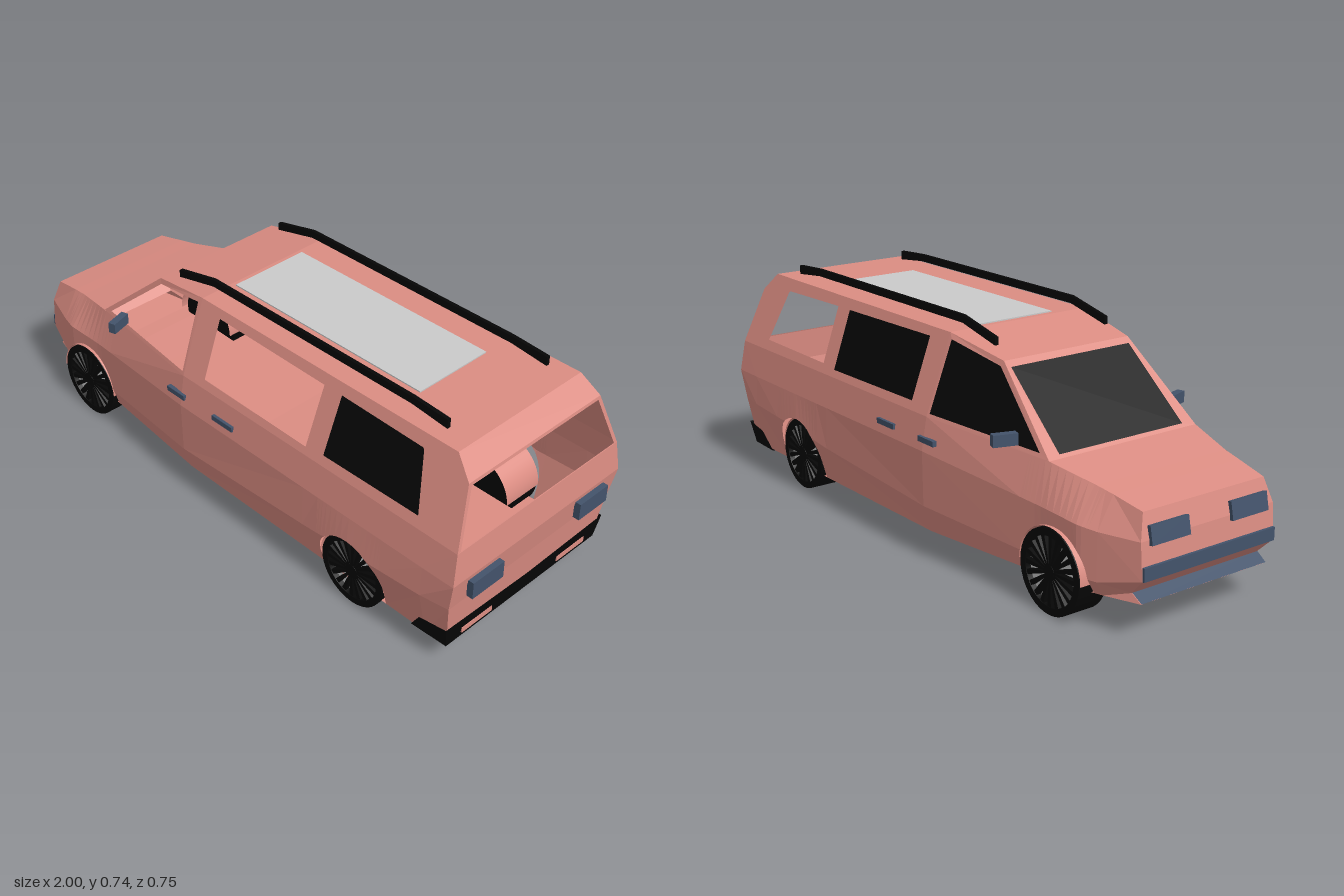
import * as THREE from 'three';

const mat = (name, color, side = THREE.FrontSide) => {
  const m = new THREE.MeshStandardMaterial({ color, side });
  m.name = name;
  return m;
};

// Half cross-sections along the car: sill, lower crease, upper crease, belt line
const KEYS = [
  [[-0.945, 0.13, 0.24], [-0.994, 0.18, 0.25], [-0.985, 0.29, 0.25], [-0.965, 0.365, 0.228]],
  [[-0.86, 0.1, 0.268], [-0.86, 0.145, 0.292], [-0.86, 0.29, 0.292], [-0.86, 0.385, 0.238]],
  [[-0.8, 0.1, 0.285], [-0.8, 0.145, 0.31], [-0.8, 0.295, 0.31], [-0.8, 0.395, 0.245]],
  [[-0.64, 0.093, 0.298], [-0.64, 0.148, 0.315], [-0.64, 0.305, 0.317], [-0.64, 0.425, 0.28]],
  [[-0.15, 0.076, 0.335], [-0.15, 0.165, 0.365], [-0.15, 0.34, 0.368], [-0.15, 0.445, 0.35]],
  [[0.4, 0.076, 0.337], [0.4, 0.2, 0.37], [0.4, 0.34, 0.368], [0.4, 0.445, 0.35]],
  [[0.59, 0.076, 0.337], [0.59, 0.225, 0.378], [0.59, 0.34, 0.368], [0.59, 0.445, 0.35]],
  [[0.87, 0.076, 0.337], [0.87, 0.24, 0.372], [0.87, 0.34, 0.368], [0.87, 0.445, 0.35]],
  [[0.945, 0.076, 0.33], [0.965, 0.24, 0.357], [0.983, 0.34, 0.367], [0.975, 0.445, 0.35]],
];
const WHEELS = [
  { name: 'front', x: -0.7, r: 0.128, arch: 0.133, out: 0.325 },
  { name: 'rear', x: 0.59, r: 0.121, arch: 0.128, out: 0.352 },
];
const AXLE = 0.128;

const mix = (a, b, t) => a.map((v, i) => v + (b[i] - v) * t);
const flip = (p, s) => [p[0], p[1], p[2] * s];

function sectionAt(x) {
  let i = 1;
  while (i < KEYS.length - 2 && KEYS[i + 1][0][0] < x) i++;
  const t = (x - KEYS[i][0][0]) / (KEYS[i + 1][0][0] - KEYS[i][0][0]);
  return KEYS[i].map((p, k) => mix(p, KEYS[i + 1][k], t));
}

// Raise the lower edge of a section to the wheel arch
function cutSection(sec, y) {
  const low = sec[1];
  if (y <= low[1]) return [mix(sec[0], low, (y - sec[0][1]) / (low[1] - sec[0][1])), ...sec.slice(1)];
  const p = mix(low, sec[2], (y - low[1]) / (sec[2][1] - low[1]));
  return [p, p, sec[2], sec[3]];
}

// Collects flat polygons into one faceted geometry
class Panels {
  constructor() { this.v = []; }
  poly(...pts) {
    for (let i = 1; i < pts.length - 1; i++) this.v.push(...pts[0], ...pts[i], ...pts[i + 1]);
  }
  across(a, b) { this.poly(a, b, flip(b, -1), flip(a, -1)); }
  frame(outer, inner) {
    outer.forEach((p, i) => {
      const j = (i + 1) % outer.length;
      this.poly(p, outer[j], inner[j], inner[i]);
    });
  }
  mesh(name, material) {
    const g = new THREE.BufferGeometry();
    g.setAttribute('position', new THREE.Float32BufferAttribute(this.v, 3));
    g.computeVertexNormals();
    const m = new THREE.Mesh(g, material);
    m.name = name;
    return m;
  }
}

export function createModel() {
  const car = new THREE.Group();
  car.name = 'van';
  const paint = mat('pink paint', 0xdc8d83, THREE.DoubleSide);
  const black = mat('black trim', 0x060606, THREE.DoubleSide);
  const blue = mat('slate blue', 0x43536b, THREE.DoubleSide);
  const grey = mat('light grey', 0xcacaca, THREE.DoubleSide);

  const add = (name, geo, material, x, y, z, parent = car) => {
    const m = new THREE.Mesh(geo, material);
    m.name = name;
    m.position.set(x, y, z);
    parent.add(m);
    return m;
  };
  const box = (name, material, [w, h, d], [x, y, z]) =>
    add(name, new THREE.BoxGeometry(w, h, d), material, x, y, z);

  // Stations, with extra ones that trace the wheel arches
  const stations = KEYS.slice(1, -1)
    .filter(k => !WHEELS.some(w => Math.abs(k[0][0] - w.x) < w.arch))
    .map(k => ({ x: k[0][0], order: 0, sec: k }));
  for (const w of WHEELS) {
    for (let i = 0; i <= 16; i++) {
      const a = Math.PI * (1 - i / 16), x = w.x + w.arch * Math.cos(a);
      const sec = sectionAt(x);
      if (i === 0) stations.push({ x, order: -1, sec });
      stations.push({ x, order: 0, sec: cutSection(sec, AXLE + w.arch * Math.sin(a)) });
      if (i === 16) stations.push({ x, order: 1, sec });
    }
  }
  stations.sort((a, b) => (Math.abs(a.x - b.x) > 1e-6 ? a.x - b.x : a.order - b.order));
  const loft = [KEYS[0], ...stations.map(s => s.sec), KEYS[KEYS.length - 1]];

  // Lower body sides, floor, bonnet, nose and tailgate
  const lower = new Panels();
  for (const s of [1, -1])
    for (let i = 0; i < loft.length - 1; i++)
      for (let k = 0; k < 3; k++)
        lower.poly(...[loft[i][k], loft[i + 1][k], loft[i + 1][k + 1], loft[i][k + 1]].map(p => flip(p, s)));
  const lip = [-0.98, 0.108, 0.238], nose = KEYS[0], tail = KEYS[KEYS.length - 1];
  const floor = [lip, ...KEYS.slice(1).map(k => k[0])];
  for (let i = 0; i < floor.length - 1; i++) lower.across(floor[i], floor[i + 1]);
  for (let i = 0; i < 3; i++) {
    lower.across(KEYS[i][3], KEYS[i + 1][3]);
    lower.across(nose[i], nose[i + 1]);
    lower.across(tail[i], tail[i + 1]);
  }
  for (const s of [1, -1]) lower.poly(flip(lip, s), flip(nose[0], s), flip(KEYS[1][0], s));
  car.add(lower.mesh('lowerBody', paint));

  // Cabin with window openings
  const sideZ = y => 0.35 - (y - 0.445) * 0.367;
  const P = (x, y) => [x, y, sideZ(y)];
  const cowl = KEYS[3][3], brow = [-0.38, 0.648, 0.237];
  const roofA = P(-0.15, 0.69), roofB = P(0.88, 0.69), tailTop = P(0.94, 0.63);
  const windows = [
    { name: 'frontWindow', glass: -1, outer: [cowl, P(-0.15, 0.445), roofA, brow],
      inner: [[-0.6, 0.439, 0.281], [-0.16, 0.455, 0.345], [-0.165, 0.672, 0.266], [-0.372, 0.632, 0.243]] },
    { name: 'middleWindow', glass: -1, outer: [P(-0.15, 0.445), P(0.42, 0.445), P(0.42, 0.69), roofA],
      inner: [P(-0.06, 0.472), P(0.385, 0.468), P(0.39, 0.656), P(-0.06, 0.662)] },
    { name: 'rearWindow', glass: 1, outer: [P(0.42, 0.445), tail[3], tailTop, roofB, P(0.42, 0.69)],
      inner: [P(0.455, 0.475), P(0.82, 0.478), P(0.775, 0.645), P(0.77, 0.65), P(0.46, 0.656)] },
  ];
  const cabin = new Panels();
  for (const w of windows) {
    for (const s of [1, -1]) cabin.frame(w.outer.map(p => flip(p, s)), w.inner.map(p => flip(p, s)));
    const pane = new Panels();
    pane.poly(...w.inner.map(p => flip(p, w.glass)));
    car.add(pane.mesh(w.name, black));
  }
  const ring = (a, b) => [a, b, flip(b, -1), flip(a, -1)];
  const shield = ring([-0.63, 0.434, 0.235], [-0.398, 0.632, 0.225]);
  cabin.frame(ring(cowl, brow), shield);
  cabin.frame(ring(tail[3], tailTop), ring([0.974, 0.448, 0.336], [0.942, 0.62, 0.272]));
  cabin.across(brow, roofA);
  cabin.across(roofA, roofB);
  cabin.across(roofB, tailTop);
  car.add(cabin.mesh('cabin', paint));
  const windshield = new Panels();
  windshield.poly(...shield);
  car.add(windshield.mesh('windshield', black));

  // Sunroof and roof rails
  box('sunroof', grey, [0.765, 0.004, 0.28], [0.25, 0.692, 0]);
  const rail = new THREE.Shape([[-0.31, 0.675], [-0.15, 0.712], [0.67, 0.712], [0.8, 0.698], [0.8, 0.728],
    [0.67, 0.736], [-0.15, 0.736], [-0.31, 0.7]].map(p => new THREE.Vector2(...p)));
  const railGeo = new THREE.ExtrudeGeometry(rail, { depth: 0.012, bevelEnabled: false });

  // Bumpers
  const front = new Panels();
  front.across([-0.947, 0.1315, 0.24], [-0.982, 0.1095, 0.238]);
  car.add(front.mesh('frontLip', blue));
  box('frontBumper', blue, [0.009, 0.04, 0.496], [-0.9955, 0.2, 0]);
  const rear = new Panels();
  const lowA = [0.82, 0.073, 0.341], topA = [0.862, 0.14, 0.357];
  const lowB = [0.949, 0.073, 0.336], topB = [0.959, 0.152, 0.353];
  for (const s of [1, -1]) {
    rear.poly(...[lowA, lowB, topB, topA].map(p => flip(p, s)));
    rear.poly(flip(lowB, s), flip(topB, s), [0.959, 0.142, 0], [0.949, 0.073, 0]);
  }
  rear.across(lowA, lowB);
  car.add(rear.mesh('rearBumper', black));

  // Mirrored fittings
  for (const s of [1, -1]) {
    add('roofRail', railGeo, black, 0, 0, s * 0.21 - 0.006);
    box('headlight', blue, [0.018, 0.055, 0.14], [-0.984, 0.302, s * 0.15]).rotation.z = -0.2;
    box('tailLight', blue, [0.022, 0.058, 0.13], [0.988, 0.295, s * 0.235]);
    box('rearReflector', paint, [0.006, 0.018, 0.13], [0.953, 0.1, s * 0.213]);
    box('mirror', blue, [0.025, 0.036, 0.075], [-0.5, 0.462, s * 0.328]).rotation.y = s * 0.3;
    box('frontHandle', blue, [0.08, 0.017, 0.014], [-0.17, 0.377, s * 0.363]);
    box('rearHandle', blue, [0.09, 0.017, 0.014], [0.047, 0.377, s * 0.363]);
  }

  // Wheels: tyre, pale disc set back behind tapered black spokes, and inner arch
  const SPOKES = 20;
  for (const w of WHEELS) for (const s of [1, -1]) {
    const wheel = new THREE.Group();
    wheel.name = w.name + 'Wheel';
    wheel.position.set(w.x, AXLE, s * w.out);
    if (s < 0) wheel.rotation.y = Math.PI;
    car.add(wheel);
    const rim = w.r * 0.82;
    const tyre = new THREE.LatheGeometry([[0, -0.1], [w.r, -0.1], [w.r, -0.1], [w.r, 0], [w.r, 0], [rim, 0],
      [rim, 0], [rim, -0.02]].map(p => new THREE.Vector2(...p)), 40).rotateX(Math.PI / 2);
    add('tyre', tyre, black, 0, 0, 0, wheel);
    add('rimDisc', new THREE.CircleGeometry(rim, 40), grey, 0, 0, -0.018, wheel);
    add('hub', new THREE.CylinderGeometry(0.02, 0.02, 0.018, 20).rotateX(Math.PI / 2), black, 0, 0, -0.01, wheel);
    const spoke = new THREE.Shape([[0.01, -0.003], [rim, -0.0075], [rim, 0.0075], [0.01, 0.003]]
      .map(p => new THREE.Vector2(...p)));
    const spokeGeo = new THREE.ExtrudeGeometry(spoke, { depth: 0.016, bevelEnabled: false });
    for (let i = 0; i < SPOKES; i++)
      add('spoke', spokeGeo, black, 0, 0, -0.018, wheel).rotation.z = (i / SPOKES) * Math.PI * 2;
    const depth = w.out - 0.2;
    const well = new THREE.CylinderGeometry(w.arch, w.arch, depth, 24, 1, true, Math.PI / 2, Math.PI)
      .rotateX(Math.PI / 2);
    add('wheelWell', well, paint, w.x, AXLE, s * (0.2 + depth / 2));
  }
  return car;
}
